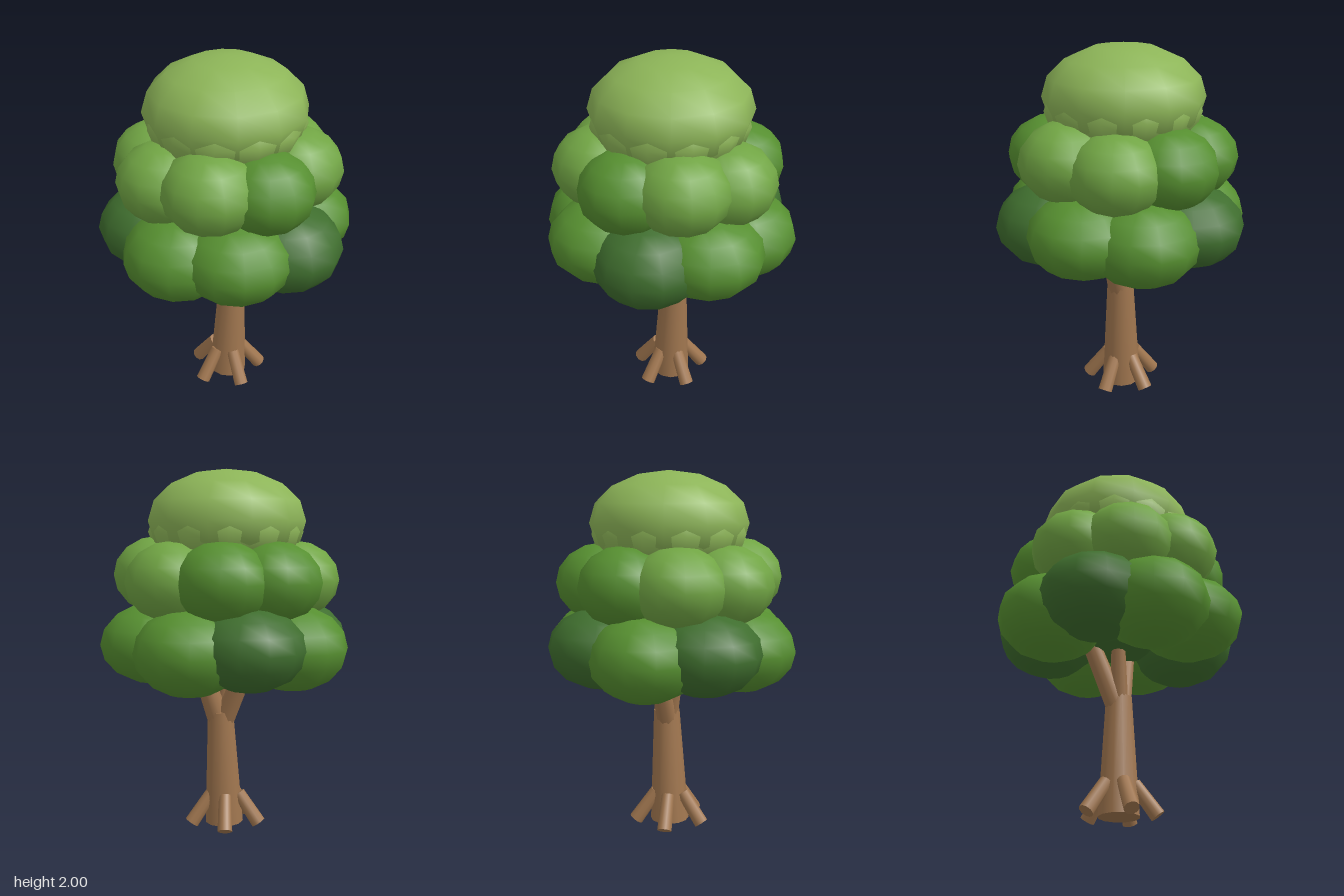
import * as THREE from 'three';

const paint = (color) => new THREE.MeshStandardMaterial({ color, roughness: 0.9 });
const bark = paint(0xa0764f);
const dark = paint(0x3f6e2e), mid = paint(0x568f30), light = paint(0x71a544), pale = paint(0x8db558);
const UP = new THREE.Vector3(0, 1, 0);

// Tapered limb running between two points
function limb(name, from, to, rFrom, rTo, sides) {
  const a = new THREE.Vector3(...from), b = new THREE.Vector3(...to);
  const mesh = new THREE.Mesh(new THREE.CylinderGeometry(rTo, rFrom, a.distanceTo(b), sides), bark);
  mesh.name = name;
  mesh.position.copy(a).add(b).multiplyScalar(0.5);
  mesh.quaternion.setFromUnitVectors(UP, b.sub(a).normalize());
  return mesh;
}

// Flattened leaf clump
function clump(name, x, y, z, radius, halfHeight, material, turn = 0) {
  const geometry = new THREE.SphereGeometry(1, 12, 8);
  geometry.scale(radius, halfHeight, radius);
  const mesh = new THREE.Mesh(geometry, material);
  mesh.name = name;
  mesh.position.set(x, y, z);
  mesh.rotation.y = turn;
  return mesh;
}

// Ring of clumps; angles run from the front (+z) towards +x
function tier(name, materials, startDeg, ring, radius, place) {
  const group = new THREE.Group();
  group.name = name;
  materials.forEach((material, i) => {
    const a = THREE.MathUtils.degToRad(startDeg + (i * 360) / materials.length);
    const { y, h } = place(i);
    group.add(clump('leafClump', Math.sin(a) * ring, y, Math.cos(a) * ring, radius, h, material, a));
  });
  return group;
}

export function createModel() {
  const tree = new THREE.Group();
  tree.name = 'tree';

  // Leaning trunk and forked branches
  tree.add(limb('trunk', [0.01, 0.02, 0], [0.034, 0.67, -0.007], 0.11, 0.073, 12));
  const branches = new THREE.Group();
  branches.name = 'branches';
  branches.add(
    limb('branch', [0.045, 0.62, -0.005], [0.16, 0.96, -0.005], 0.062, 0.05, 10),
    limb('branch', [0.02, 0.6, -0.01], [-0.085, 0.96, -0.13], 0.058, 0.05, 10),
    limb('branch', [0.02, 0.62, 0.0], [-0.05, 0.95, 0.015], 0.05, 0.04, 10),
  );
  tree.add(branches);

  // Five splayed roots
  const roots = new THREE.Group();
  roots.name = 'roots';
  for (let i = 0; i < 5; i++) {
    const a = THREE.MathUtils.degToRad(18 + i * 72);
    const at = (r, y) => [Math.sin(a) * r + 0.004, y, Math.cos(a) * r];
    roots.add(limb('root', at(0.08, 0.19), at(0.2, 0.025), 0.036, 0.041, 10));
  }
  tree.add(roots);

  // Inner mass closing the gaps between clumps
  tree.add(clump('foliageCore', 0, 1.26, 0, 0.4, 0.36, dark));

  // Lower and middle foliage tiers
  tree.add(tier('lowerFoliage', [mid, dark, mid, mid, dark, mid, dark, mid], 0, 0.4, 0.3,
    (i) => ({ y: i % 2 ? 1.05 : 1.07, h: i % 2 ? 0.23 : 0.22 })));
  tree.add(tier('middleFoliage', [mid, light, light, mid, mid, light, light, light], 25, 0.365, 0.258,
    (i) => ({ y: i === 7 || i === 1 ? 1.43 : 1.405, h: 0.215 })));

  // Crown cap with a second clump showing below it
  tree.add(clump('crown', 0, 1.72, -0.01, 0.435, 0.28, pale));
  tree.add(clump('crownSkirt', 0, 1.665, -0.005, 0.425, 0.25, pale, Math.PI / 12));
  return tree;
}
